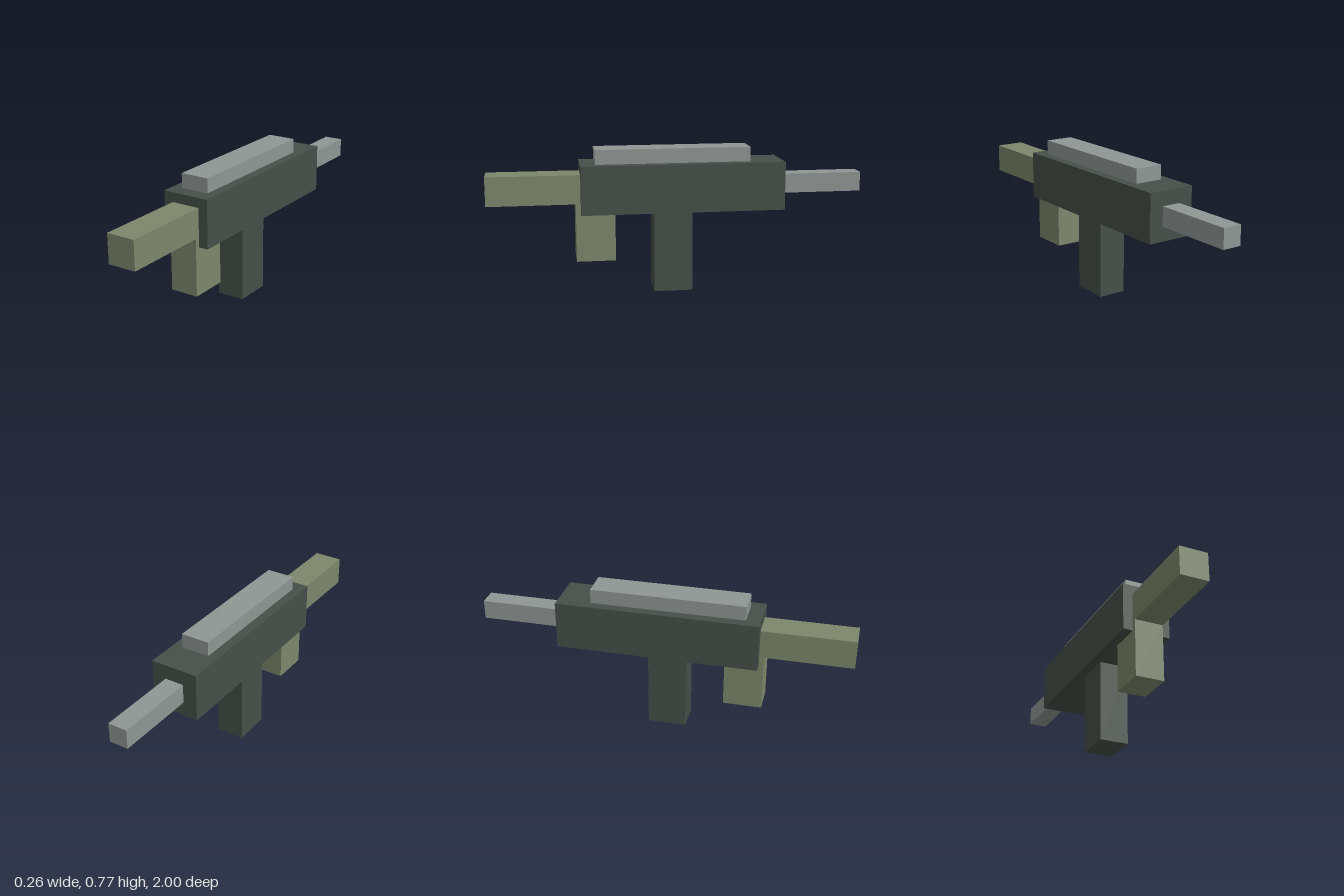
import * as THREE from 'three';

// All sizes are multiples of one grid unit; the full length is 39 units.
const U = 2 / 39;

export function createModel() {
  const group = new THREE.Group();
  const material = (name, color) => {
    const m = new THREE.MeshStandardMaterial({ color });
    m.name = name;
    return m;
  };
  const dark = material('dark green grey', 0x464f49);
  const olive = material('olive', 0x7d876c);
  const grey = material('light grey', 0x8f9693);

  // Block centred on x, spanning y0..y1 and z0..z1 in grid units
  const block = (name, mat, width, y0, y1, z0, z1) => {
    const geometry = new THREE.BoxGeometry(width * U, (y1 - y0) * U, (z1 - z0) * U);
    const mesh = new THREE.Mesh(geometry, mat);
    mesh.name = name;
    mesh.position.set(0, ((y0 + y1) / 2) * U, ((z0 + z1) / 2) * U);
    group.add(mesh);
  };

  block('body', dark, 5, 8.5, 13.5, -11, 10);
  block('topRail', grey, 3, 13.5, 15, -7.5, 8.5);
  block('rearBar', grey, 2, 10, 12, -19.5, -11);
  block('frontBar', olive, 3, 9.5, 12.5, 10, 19.5);
  // The front post runs up beside the body to meet the front bar
  block('frontPost', olive, 3, 3.5, 9.5, 6.5, 10.5);
  block('middlePost', dark, 3, 0, 8.5, -1.5, 2.5);

  return group;
}
